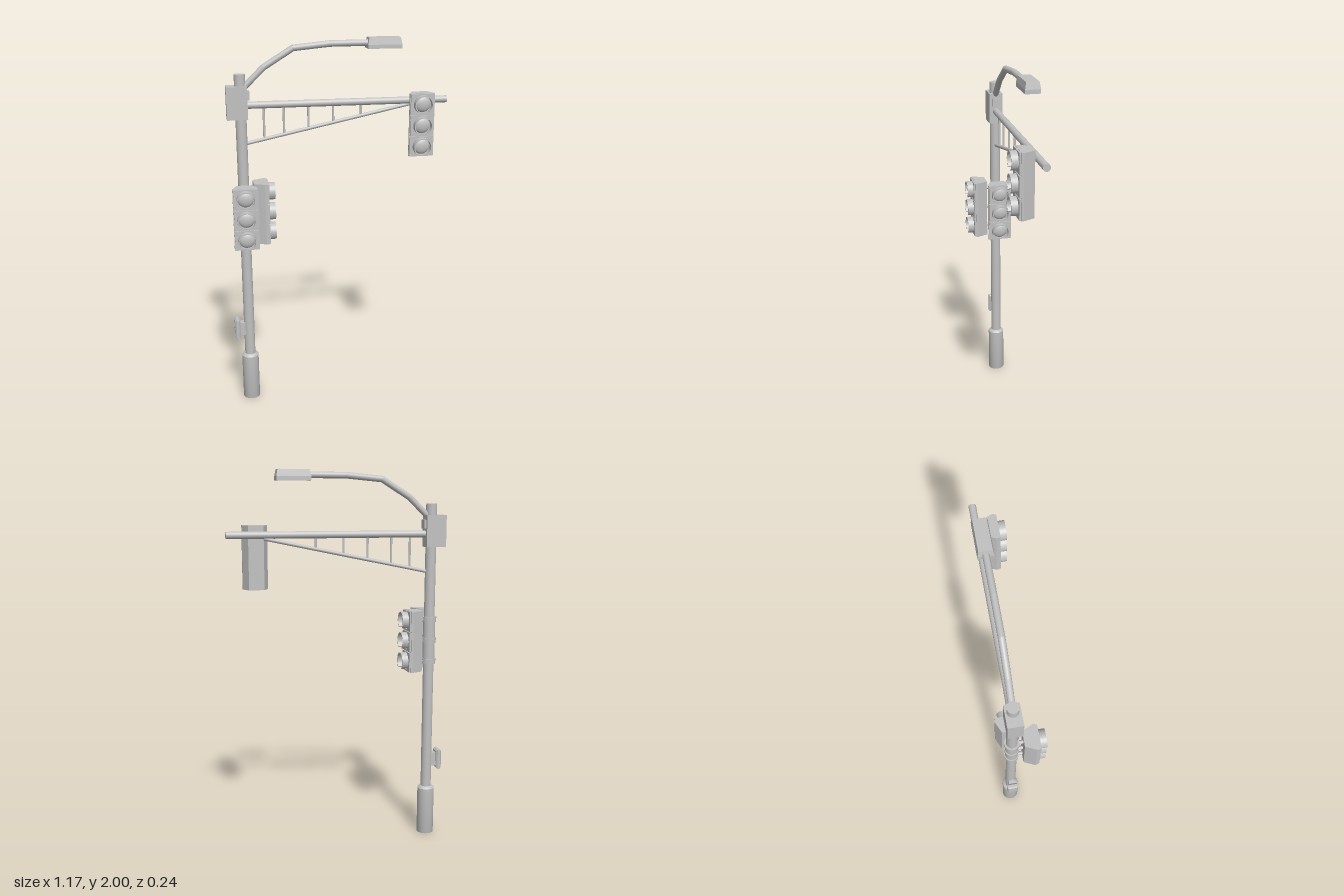
import * as THREE from 'three';

const PX = -0.503, PZ = -0.052; // pole axis
const grey = new THREE.MeshStandardMaterial({ color: 0xc0c0c0 });
grey.name = 'painted steel grey';

function add(parent, name, geometry, x = 0, y = 0, z = 0) {
  const mesh = new THREE.Mesh(geometry, grey);
  mesh.name = name;
  mesh.position.set(x, y, z);
  parent.add(mesh);
  return mesh;
}

// Round bar between two points
function bar(parent, name, a, b, r, sides = 16) {
  const from = new THREE.Vector3(...a), to = new THREE.Vector3(...b);
  const dir = to.clone().sub(from);
  const mesh = add(parent, name, new THREE.CylinderGeometry(r, r, dir.length(), sides));
  mesh.position.copy(from).add(to).multiplyScalar(0.5);
  mesh.quaternion.setFromUnitVectors(new THREE.Vector3(0, 1, 0), dir.normalize());
  return mesh;
}

function rect(w, h) {
  return [[-w, -h], [w, -h], [w, h], [-w, h]].map(([x, y]) => new THREE.Vector2(x / 2, y / 2));
}

// Three-lamp signal; its back is at z = 0 and it faces +z
function signalHead(name) {
  const head = new THREE.Group();
  head.name = name;
  const outline = [[-0.04, 0], [0.04, 0], [0.066, -0.057], [0.066, -0.07], [-0.066, -0.07], [-0.066, -0.057]];
  const profile = new THREE.Shape(outline.map(p => new THREE.Vector2(...p)).reverse());
  const body = new THREE.ExtrudeGeometry(profile, { depth: 0.33, bevelEnabled: false });
  body.rotateX(-Math.PI / 2);
  add(head, 'signalHousing', body, 0, -0.165, 0);

  // Visor: a ring with its lower part cut away
  const start = -50 * Math.PI / 180, end = 230 * Math.PI / 180;
  const ring = new THREE.Shape();
  ring.absarc(0, 0, 0.048, start, end, false);
  ring.absarc(0, 0, 0.043, end, start, true);
  const visor = new THREE.ExtrudeGeometry(ring, { depth: 0.034, bevelEnabled: false, curveSegments: 24 });

  // Door: a square rim around a round opening
  const door = new THREE.Shape(rect(0.125, 0.105));
  const hole = new THREE.Path();
  hole.absarc(0, 0, 0.046, 0, Math.PI * 2, true);
  door.holes.push(hole);
  const doorGeo = new THREE.ExtrudeGeometry(door, { depth: 0.009, bevelEnabled: false, curveSegments: 24 });

  const lens = new THREE.SphereGeometry(0.042, 24, 8, 0, Math.PI * 2, 0, Math.PI / 2);
  lens.rotateX(Math.PI / 2);
  lens.scale(1, 1, 0.45);
  for (const y of [0.111, 0, -0.111]) {
    add(head, 'signalDoor', doorGeo, 0, y, 0.07);
    add(head, 'visor', visor, 0, y, 0.079);
    add(head, 'lens', lens, 0, y, 0.071);
  }
  return head;
}

export function createModel() {
  const model = new THREE.Group();
  model.name = 'trafficSignalPole';

  // Pole with a wider, bevelled foot
  const poleProfile = [[0, 0], [0.046, 0], [0.046, 0.26], [0.046, 0.26], [0.036, 0.272], [0.029, 0.272]];
  const foot = new THREE.LatheGeometry(poleProfile.map(p => new THREE.Vector2(...p)), 32);
  add(model, 'poleFoot', foot, PX, 0, PZ);
  bar(model, 'pole', [PX, 0.26, PZ], [PX, 1.83, PZ], 0.0285, 32);

  // Control cabinet around the pole
  add(model, 'cabinet', new THREE.BoxGeometry(0.107, 0.168, 0.074), -0.522, 1.687, PZ);
  add(model, 'cabinetBracket', new THREE.BoxGeometry(0.02, 0.045, 0.044), -0.467, 1.723, PZ);

  // Signal arm with its truss
  bar(model, 'signalArm', [PX, 1.672, PZ], [0.584, 1.672, PZ], 0.0185, 24);
  const braceY = x => 1.475 + (x + 0.475) * 0.207;
  bar(model, 'armBrace', [-0.49, braceY(-0.49), PZ], [0.39, braceY(0.39), PZ], 0.0095);
  for (const x of [-0.386, -0.283, -0.155, -0.025, 0.122])
    bar(model, 'trussPost', [x, braceY(x), PZ], [x, 1.67, PZ], 0.006, 12);

  // Lamp arm bent in straight lengths
  const bends = [[-0.495, 1.752], [-0.38, 1.862], [-0.23, 1.954], [-0.04, 1.972], [0.17, 1.973]];
  bends.slice(1).forEach(([x, y], i) => {
    bar(model, 'lampArm', [...bends[i], PZ], [x, y, PZ], 0.0165);
    if (i < 3) add(model, 'lampArmBend', new THREE.SphereGeometry(0.0165, 16, 10), x, y, PZ);
  });

  // Lamp head: bevelled cover, rim and recessed panel underneath
  const cover = new THREE.BoxGeometry(0.178, 0.035, 0.076);
  const pos = cover.attributes.position;
  for (let i = 0; i < pos.count; i++)
    if (pos.getY(i) > 0) pos.setXYZ(i, pos.getX(i) * 0.92, pos.getY(i), pos.getZ(i) * 0.84);
  const flatCover = cover.toNonIndexed();
  flatCover.computeVertexNormals();
  add(model, 'lampCover', flatCover, 0.239, 1.9825, PZ);
  const rim = new THREE.Shape(rect(0.178, 0.076));
  rim.holes.push(new THREE.Path(rect(0.15, 0.054).reverse()));
  const rimGeo = new THREE.ExtrudeGeometry(rim, { depth: 0.02, bevelEnabled: false });
  rimGeo.rotateX(-Math.PI / 2);
  add(model, 'lampRim', rimGeo, 0.239, 1.945, PZ);

  // Signals: two on the pole, one on the arm
  const front = signalHead('frontSignal');
  front.position.set(PX, 1.1, PZ + 0.058);
  const side = signalHead('sideSignal');
  side.position.set(PX + 0.05, 1.1, PZ);
  side.rotation.y = Math.PI / 2;
  const hung = signalHead('armSignal');
  hung.position.set(0.428, 1.555, -0.029);
  model.add(front, side, hung);
  bar(model, 'armSignalMount', [0.428, 1.672, PZ], [0.428, 1.672, -0.02], 0.014);

  // Clamps and stubs that hold the pole signals
  bar(model, 'clampSleeve', [PX, 0.97, PZ], [PX, 1.23, PZ], 0.033, 32);
  for (const y of [0.985, 1.1, 1.215]) {
    bar(model, 'clampBand', [PX, y - 0.014, PZ], [PX, y + 0.014, PZ], 0.038, 32);
    bar(model, 'frontStub', [PX, y, PZ], [PX, y, PZ + 0.062], 0.01);
    bar(model, 'sideStub', [PX, y, PZ], [PX + 0.055, y, PZ], 0.01);
  }

  // Push-button box on the pole's right side
  const plate = new THREE.ExtrudeGeometry(new THREE.Shape(rect(0.046, 0.094)), {
    depth: 0.014, bevelThickness: 0.008, bevelSize: 0.008, bevelSegments: 1,
  });
  plate.rotateY(-Math.PI / 2);
  add(model, 'buttonBox', plate, -0.56, 0.426, PZ);
  add(model, 'buttonMount', new THREE.BoxGeometry(0.045, 0.074, 0.036), -0.537, 0.426, PZ);
  bar(model, 'button', [-0.58, 0.426, PZ], [-0.584, 0.426, PZ], 0.013);

  return model;
}
